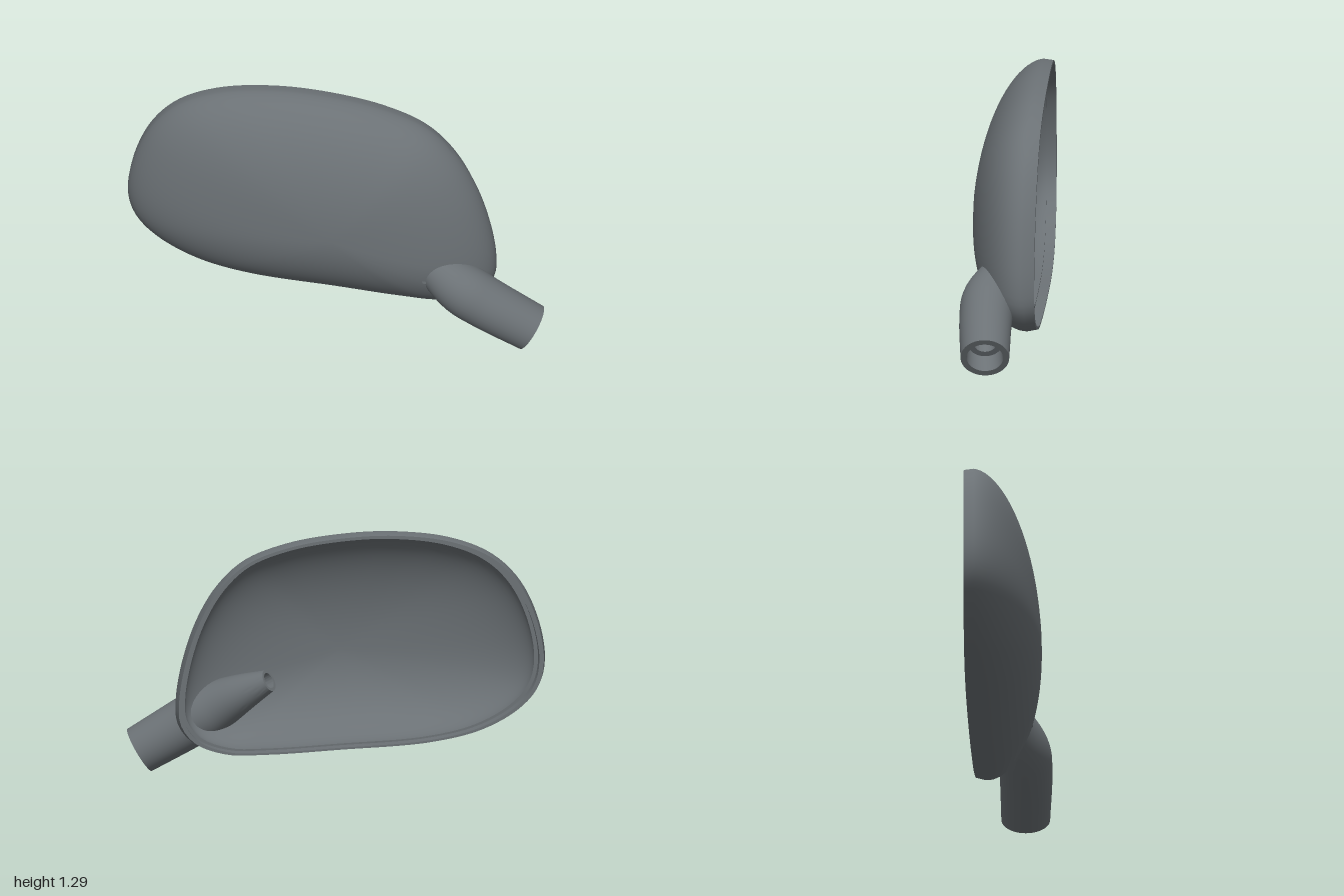
import * as THREE from 'three';
import { toCreasedNormals } from 'three/addons/utils/BufferGeometryUtils.js';

// Skin a list of equally sized closed rings of points.
function loft(rings, crease) {
  const n = rings[0].length, index = [];
  for (let i = 0; i < rings.length - 1; i++) {
    for (let j = 0; j < n; j++) {
      const k = (j + 1) % n;
      const a = i * n + j, b = i * n + k, c = a + n, d = b + n;
      index.push(a, b, c, b, d, c);
    }
  }
  const geometry = new THREE.BufferGeometry().setFromPoints(rings.flat());
  geometry.setIndex(index);
  return toCreasedNormals(geometry, crease);
}

// Outline of the housing, counter-clockwise from the arm side.
const outline = [
  [0.78, 0.4], [0.75, 0.6], [0.68, 0.82], [0.58, 1.0], [0.45, 1.13], [0.25, 1.22],
  [0, 1.275], [-0.27, 1.297], [-0.55, 1.27], [-0.75, 1.19], [-0.88, 1.06], [-0.97, 0.86],
  [-1, 0.66], [-0.97, 0.53], [-0.88, 0.42], [-0.7, 0.31], [-0.45, 0.24], [0, 0.19],
  [0.35, 0.155], [0.55, 0.15], [0.7, 0.2], [0.77, 0.29],
];
const CX = -0.05, CY = 0.62;

// Slanted, slightly bowed plane of the open rim.
const rimZ = (x) => -0.39 + 0.219 * (x + 1) - 0.02 * (1 - ((x + 0.11) / 0.89) ** 2);

function housingGeometry() {
  const curve = new THREE.CatmullRomCurve3(
    outline.map(([x, y]) => new THREE.Vector3(x, y, 0)), true);
  const edge = curve.getSpacedPoints(128).slice(0, 128);
  const stations = []; // [scale of outline, depth in front of the rim]
  const steps = 22;
  // inner bowl, from the pole out to the ledge
  for (let i = steps; i >= 0; i--) {
    const a = (i / steps) * Math.PI / 2;
    stations.push([i === steps ? 0 : 0.945 * Math.cos(a), 0.05 + 0.295 * Math.sin(a) ** 1.1]);
  }
  // glass seat and rim
  stations.push([0.965, 0.05], [0.965, 0], [0.988, 0]);
  // outer dome, from the rim band to the pole
  for (let i = 0; i <= steps; i++) {
    const a = (i / steps) * Math.PI / 2;
    stations.push([i === steps ? 0 : Math.cos(a), 0.05 + 0.32 * Math.sin(a) ** 1.1]);
  }
  return loft(stations.map(([s, depth]) => edge.map((p) => {
    const x = CX + (p.x - CX) * s, y = CY + (p.y - CY) * s;
    return new THREE.Vector3(x, y, rimZ(x) + depth);
  })), 0.55);
}

function armGeometry() {
  const path = new THREE.CatmullRomCurve3([
    [0.93, 0.108, 0.265], [0.7, 0.25, 0.225], [0.58, 0.33, 0.19],
    [0.45, 0.42, 0.11], [0.32, 0.5, 0.03],
  ].map((p) => new THREE.Vector3(...p)));
  const radii = [[0, 0.12], [0.35, 0.13], [0.53, 0.13], [0.75, 0.1], [1, 0.055]];
  const radiusCurve = new THREE.SplineCurve(radii.map((r) => new THREE.Vector2(...r)));
  const stations = []; // [position along path, radius]
  for (let i = 0; i <= 24; i++) {
    const p = radiusCurve.getPoint(i / 24);
    stations.push([p.x, p.y]);
  }
  // bore back to the stepped socket and its mouth
  for (let i = 0; i <= 12; i++) stations.push([1 - 0.87 * i / 12, 0.04 + 0.015 * i / 12]);
  stations.push([0.13, 0.085], [0, 0.09], [0, 0.12]);

  const up = new THREE.Vector3(0, 1, 0);
  return loft(stations.map(([t, r]) => {
    const u0 = THREE.MathUtils.clamp(t, 0, 1);
    const centre = path.getPointAt(u0), tangent = path.getTangentAt(u0);
    const u = new THREE.Vector3().crossVectors(up, tangent).normalize();
    const v = new THREE.Vector3().crossVectors(tangent, u);
    return Array.from({ length: 48 }, (_, j) => {
      const a = (j / 48) * Math.PI * 2;
      return centre.clone().addScaledVector(u, r * Math.cos(a)).addScaledVector(v, r * Math.sin(a));
    });
  }), 0.6);
}

export function createModel() {
  const group = new THREE.Group();
  group.name = 'wingMirrorHousing';
  const plastic = new THREE.MeshStandardMaterial({ color: 0x6b7175 });
  plastic.name = 'greyPlastic';

  const add = (name, geometry) => {
    const mesh = new THREE.Mesh(geometry, plastic);
    mesh.name = name;
    group.add(mesh);
    return mesh;
  };

  add('housingShell', housingGeometry());
  add('mountingArm', armGeometry());

  // small pin beside the arm
  const pin = add('pin', new THREE.CylinderGeometry(0.014, 0.014, 0.03, 20));
  pin.rotation.x = Math.PI / 2;
  pin.position.set(0.41, 0.38, 0.192);

  return group;
}
